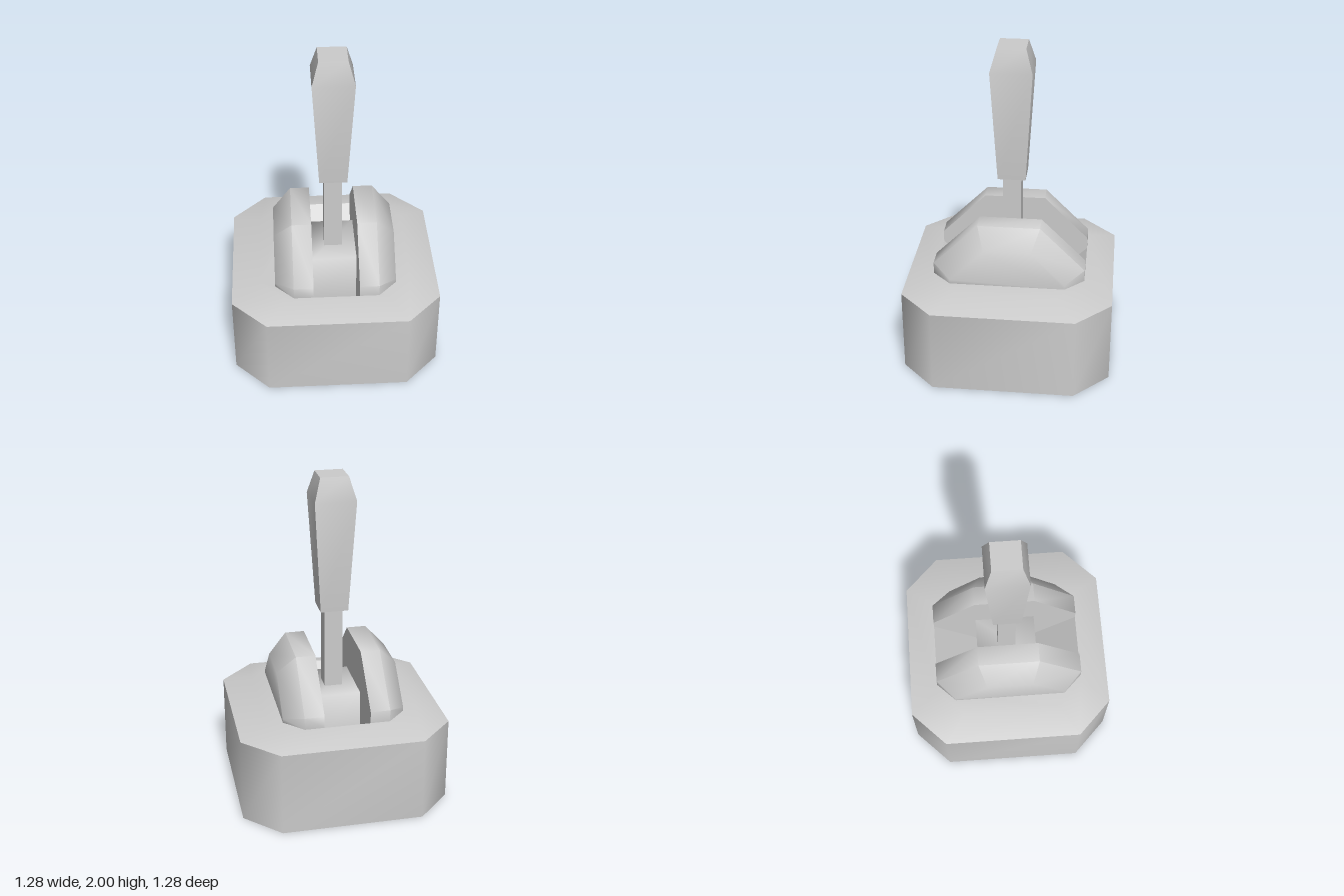
import * as THREE from 'three';
import { mergeGeometries, toCreasedNormals } from 'three/addons/utils/BufferGeometryUtils.js';

const V = (x, y, z) => new THREE.Vector3(x, y, z);
const CREASE = Math.PI / 3;

// Skins consecutive rings of points, with optional fan caps at either end
function loft(rings, capStart, capEnd) {
  const pts = [];
  const n = rings[0].length;
  for (let i = 0; i < rings.length - 1; i++) {
    for (let j = 0; j < n; j++) {
      const k = (j + 1) % n;
      const a = rings[i][j], b = rings[i][k], c = rings[i + 1][k], d = rings[i + 1][j];
      pts.push(a, b, c, a, c, d);
    }
  }
  for (let j = 1; j < n - 1; j++) {
    const s = rings[0], e = rings[rings.length - 1];
    if (capStart) pts.push(s[0], s[j + 1], s[j]);
    if (capEnd) pts.push(e[0], e[j], e[j + 1]);
  }
  return new THREE.BufferGeometry().setFromPoints(pts);
}

// Flat shape as bare positions, ready to merge
function plate(shape) {
  const g = new THREE.ShapeGeometry(shape).toNonIndexed();
  g.deleteAttribute('uv');
  g.deleteAttribute('normal');
  return g;
}

// Strip across the slot width, following a front-to-back profile of [z, y]
function strip(profile, w) {
  const g = new THREE.BufferGeometry().setFromPoints(
    profile.flatMap(([z, y]) => [V(-w, y, z), V(w, y, z)]));
  const index = [];
  for (let i = 0; i < profile.length - 1; i++) {
    const a = i * 2;
    index.push(a, a + 1, a + 3, a, a + 3, a + 2);
  }
  g.setIndex(index);
  g.computeVertexNormals();
  return g;
}

const octagon = (r, c) => [[r, c], [r, -c], [c, -r], [-c, -r], [-r, -c], [-r, c], [-c, r], [c, r]];
const octRing = (r, c, y) => octagon(r, c).map(([x, z]) => V(x, y, z));
const squareRing = (r, y) => [V(r, y, r), V(r, y, -r), V(-r, y, -r), V(-r, y, r)];

export function createModel() {
  const model = new THREE.Group();
  const grey = new THREE.MeshStandardMaterial({ color: 0xcccccc });
  grey.name = 'grey';
  const add = (parent, name, geometry) => {
    const mesh = new THREE.Mesh(geometry, grey);
    mesh.name = name;
    parent.add(mesh);
    return mesh;
  };

  const deckY = 0.585, slotX = 0.14, slotZ = 0.465, pitY = 0.31, blockZ = 0.19, blockY = 0.655;

  // Base: chamfered block with a shallow bevel and a slotted deck
  const walls = loft([octRing(0.64, 0.43, 0), octRing(0.64, 0.43, 0.525)], true, false);
  const bevel = loft([octRing(0.64, 0.43, 0.525), octRing(0.467, 0.31, deckY)], false, false);
  const deckShape = new THREE.Shape(octagon(0.467, 0.31).map(([x, y]) => new THREE.Vector2(x, y)));
  deckShape.holes.push(new THREE.Path([
    [-slotX, -slotZ], [slotX, -slotZ], [slotX, slotZ], [-slotX, slotZ],
  ].map(([x, y]) => new THREE.Vector2(x, y))));
  const deck = plate(deckShape).rotateX(-Math.PI / 2).translate(0, deckY, 0);
  add(model, 'base', toCreasedNormals(mergeGeometries([walls, bevel, deck]), CREASE));

  // Cheeks on both sides of the slot; the inner wall continues down into it
  const cheekRing = (x, zEnd, yEnd, zTop, yTop) => [
    V(x, deckY, -zEnd), V(x, yEnd, -zEnd), V(x, yTop, -zTop),
    V(x, yTop, zTop), V(x, yEnd, zEnd), V(x, deckY, zEnd),
  ];
  const rings = [
    cheekRing(slotX, slotZ, 0.658, 0.19, 0.932),
    cheekRing(0.26, slotZ, 0.658, 0.19, 0.932),
    cheekRing(0.372, 0.35, 0.61, 0.143, 0.817),
  ];
  const cheekGeometry = toCreasedNormals(loft(rings, false, true), CREASE);
  const wallOutline = [...rings[0].map((p) => new THREE.Vector2(p.z, p.y)),
    new THREE.Vector2(blockZ, pitY), new THREE.Vector2(-blockZ, pitY)];
  const wallGeometry = new THREE.ShapeGeometry(new THREE.Shape(wallOutline))
    .rotateY(-Math.PI / 2).translate(slotX, 0, 0);
  for (const [name, turn] of [['leftCheek', 0], ['rightCheek', Math.PI]]) {
    const cheek = new THREE.Group();
    cheek.name = name;
    cheek.rotation.y = turn;
    add(cheek, 'cheekShell', cheekGeometry);
    add(cheek, 'slotWall', wallGeometry);
    model.add(cheek);
  }

  // Slot floors sloping down to the softly shaded pivot block
  add(model, 'frontSlotFloor', strip([[slotZ, deckY], [blockZ, pitY]], slotX));
  add(model, 'backSlotFloor', strip([[-blockZ, pitY], [-slotZ, deckY]], slotX));
  add(model, 'pivotBlock', strip(
    [[blockZ, pitY], [blockZ, blockY], [-blockZ, blockY], [-blockZ, pitY]], slotX));

  // Lever: square shaft and tapered grip
  const lever = new THREE.Group();
  lever.name = 'lever';
  model.add(lever);
  add(lever, 'shaft', new THREE.BoxGeometry(0.112, 0.53, 0.112).translate(0, 0.91, 0));
  add(lever, 'grip', toCreasedNormals(
    loft([squareRing(0.085, 1.165), squareRing(0.125, 1.86), squareRing(0.085, 2)], true, true),
    Math.PI / 5));

  return model;
}
